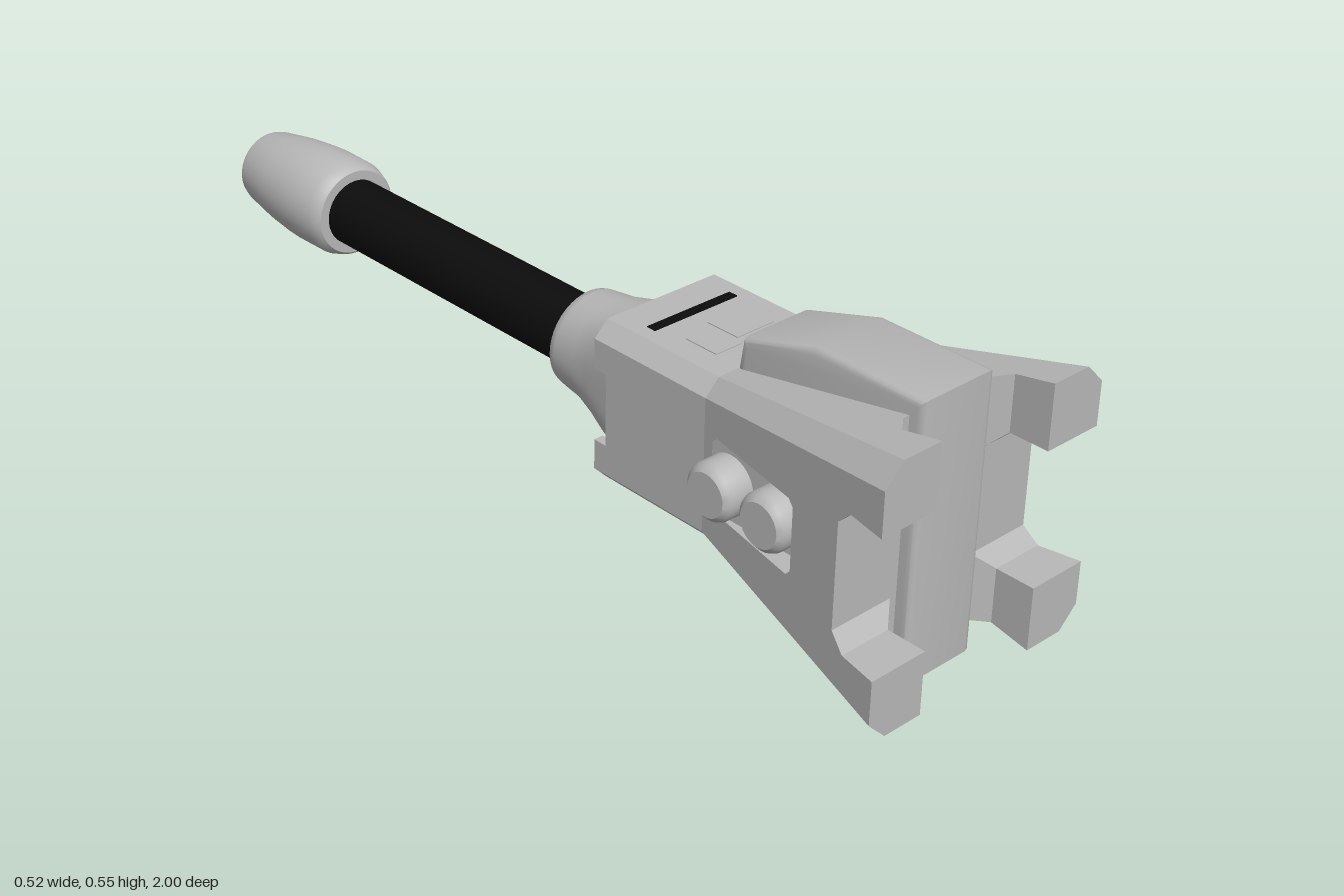
import * as THREE from 'three';
import { toCreasedNormals } from 'three/addons/utils/BufferGeometryUtils.js';

const grey = new THREE.MeshStandardMaterial({ color: 0xb8b8b8, side: THREE.DoubleSide });
grey.name = 'grey plastic';
const black = new THREE.MeshStandardMaterial({ color: 0x0c0c0c });
black.name = 'black rubber';

function add(parent, name, geometry, material = grey) {
  const mesh = new THREE.Mesh(geometry, material);
  mesh.name = name;
  parent.add(mesh);
  return mesh;
}

// Joins rings of [x, y, z] points; rings run counter-clockwise seen from +z, back to front.
function loft(rings, { capBack = true, capFront = true, skip = [] } = {}) {
  const pos = [];
  const tri = (a, b, c) => pos.push(...a, ...b, ...c);
  const n = rings[0].length;
  for (let k = 0; k < rings.length - 1; k++) {
    const r = rings[k], s = rings[k + 1];
    for (let i = 0; i < n; i++) {
      if (skip.includes(i)) continue;
      const j = (i + 1) % n;
      tri(r[i], r[j], s[j]);
      tri(r[i], s[j], s[i]);
    }
  }
  const last = rings[rings.length - 1];
  for (let i = 1; i < n - 1; i++) {
    if (capBack) tri(rings[0][0], rings[0][i + 1], rings[0][i]);
    if (capFront) tri(last[0], last[i], last[i + 1]);
  }
  const g = new THREE.BufferGeometry();
  g.setAttribute('position', new THREE.Float32BufferAttribute(pos, 3));
  g.computeVertexNormals();
  return g;
}

// Body outline along z: straight at the back, flaring towards the front.
const flare = z => Math.max(0, (z - 0.51) / 0.49);
const halfW = z => 0.16 + 0.1 * flare(z);
const halfH = z => 0.1625 + 0.096 * flare(z);
const cham = z => 0.03 + 0.01 * flare(z);

function octagon(z) {
  const w = halfW(z), h = halfH(z), c = cham(z);
  return [[w, c - h], [w, h - c], [w - c, h], [c - w, h], [-w, h - c], [-w, c - h], [c - w, -h], [w - c, -h]]
    .map(([x, y]) => [x, y, z]);
}

// One corner prong section, from inner corner (ix, iy) to the chamfered outer corner.
function prongRing(z, ix, iy, sx, sy) {
  const w = halfW(z), h = halfH(z), c = cham(z);
  const ring = [[ix, iy], [w, iy], [w, h - c], [w - c, h], [ix, h]].map(([x, y]) => [x * sx, y * sy, z]);
  return sx * sy < 0 ? ring.reverse() : ring;
}

function roundedSquare(z, r, power) {
  return Array.from({ length: 40 }, (_, i) => {
    const a = (i / 40) * Math.PI * 2, c = Math.cos(a), s = Math.sin(a);
    const k = r / Math.pow(Math.abs(c) ** power + Math.abs(s) ** power, 1 / power);
    return [c * k, s * k, z];
  });
}

// Right-hand side: sloping wall with a pocket that holds two round buttons.
function sidePanel() {
  const side = new THREE.Group();
  side.name = 'sidePanel';
  const floorX = 0.165, z0 = 0.535, z1 = 0.77, hy = 0.073, b = 0.012;
  const edge = z => halfH(z) - cham(z);
  const wall = new THREE.Shape([[0.51, -edge(0.51)], [0.89, -edge(0.89)], [0.89, edge(0.89)], [0.51, edge(0.51)]]
    .map(p => new THREE.Vector2(...p)));
  const pocket = [[z0 + b, -hy], [z1 - b, -hy], [z1, b - hy], [z1, hy - b], [z1 - b, hy], [z0 + b, hy], [z0, hy - b], [z0, b - hy]];
  wall.holes.push(new THREE.Path(pocket.map(p => new THREE.Vector2(...p))));
  const g = new THREE.ShapeGeometry(wall);
  const p = g.attributes.position;
  for (let i = 0; i < p.count; i++) {
    const z = p.getX(i);
    p.setXYZ(i, -halfW(z), p.getY(i), z);
  }
  g.computeVertexNormals();
  add(side, 'sideWall', g);
  const rim = pocket.map(([z, y]) => [-halfW(z), y, z]);
  const floor = pocket.map(([z, y]) => [-floorX, y, z]);
  add(side, 'buttonPocket', loft([rim, floor], { capBack: false }));

  const profile = [[0, 0.16], [0.055, 0.16], [0.055, 0.207], [0.052, 0.215], [0.042, 0.224], [0, 0.224]]
    .map(q => new THREE.Vector2(...q));
  for (const z of [0.58, 0.705]) {
    const button = toCreasedNormals(new THREE.LatheGeometry(profile, 32).rotateZ(Math.PI / 2), 0.6);
    add(side, 'sideButton', button).position.z = z;
  }
  return side;
}

export function createModel() {
  const model = new THREE.Group();
  model.name = 'connectorWithCable';
  const axis = new THREE.Group();
  axis.name = 'connector';
  axis.position.y = 0.2725;
  model.add(axis);

  // Housing
  add(axis, 'rearHousing', loft([octagon(0.26), octagon(0.51)], { capFront: false }));
  add(axis, 'flaredHousing', loft([octagon(0.51), octagon(0.89)], { capBack: false, skip: [0, 4] }));
  for (const sx of [-1, 1]) for (const sy of [-1, 1]) {
    add(axis, 'cornerProng', loft([
      prongRing(0.89, 0.1, 0.103, sx, sy),
      prongRing(0.92, 0.135, 0.133, sx, sy),
      prongRing(1, 0.135, 0.133, sx, sy),
    ], { capBack: false }));
  }

  // Parts that repeat when turned half way round the axis
  const half = [[0.16, 0.0725], [0.16, 0.1325], [0.13, 0.1625], [-0.13, 0.1625], [-0.16, 0.1325], [-0.16, 0.0725],
    [-0.14, 0.0725], [-0.14, 0.125], [-0.122, 0.1425], [0.122, 0.1425], [0.14, 0.125], [0.14, 0.0725]];
  const rimShape = new THREE.Shape(half.map(q => new THREE.Vector2(...q)));
  for (const turn of [0, Math.PI]) {
    const pair = new THREE.Group();
    pair.name = 'housingHalf';
    pair.rotation.z = turn;
    axis.add(pair);
    pair.add(sidePanel());
    add(pair, 'rearRim', new THREE.ExtrudeGeometry(rimShape, { depth: 0.03, bevelEnabled: false })).position.z = 0.23;
    add(pair, 'blackSlot', new THREE.BoxGeometry(0.2, 0.004, 0.02), black).position.set(0, 0.1625, 0.31);
  }
  for (const [x, z, w] of [[0.035, 0.395, 0.09], [-0.05, 0.415, 0.06]]) {
    add(axis, 'topPlate', new THREE.BoxGeometry(w, 0.004, 0.075)).position.set(x, 0.1625, z);
  }

  // Central slab through the housing
  const outline = [[0.92, -0.2725], [0.92, 0.2725], [0.68, 0.2725], [0.515, 0.222], [0.505, 0.16],
    [0.505, -0.16], [0.515, -0.222], [0.68, -0.2725]];
  const slab = new THREE.ExtrudeGeometry(new THREE.Shape(outline.map(([z, y]) => new THREE.Vector2(-z, y))), {
    depth: 0.14, bevelThickness: 0.015, bevelSize: 0.015, bevelOffset: -0.015, bevelSegments: 3,
  });
  slab.translate(0, 0, -0.07).rotateY(Math.PI / 2);
  add(axis, 'centreSlab', toCreasedNormals(slab, 0.6));

  // Strain relief: round at the cable, squarish inside the housing
  const relief = [[0.028, 0.09, 2], [0.035, 0.098, 2], [0.05, 0.101, 2], [0.1, 0.104, 2.2], [0.15, 0.112, 2.8],
    [0.2, 0.122, 4], [0.265, 0.131, 6]];
  add(axis, 'strainRelief', toCreasedNormals(loft(relief.map(r => roundedSquare(...r))), 0.7));

  // Cable and end cap
  const cable = new THREE.CylinderGeometry(0.07, 0.07, 0.78, 32).rotateX(Math.PI / 2);
  add(axis, 'cable', cable, black).position.z = -0.34;
  const tip = [[0, 0.695], [0.09, 0.695], [0.095, 0.7], [0.103, 0.725], [0.104, 0.8], [0.102, 0.84], [0.096, 0.9],
    [0.082, 0.985], [0.077, 1], [0, 1]].map(q => new THREE.Vector2(...q));
  add(axis, 'endCap', toCreasedNormals(new THREE.LatheGeometry(tip, 40).rotateX(-Math.PI / 2), 0.6));

  return model;
}
